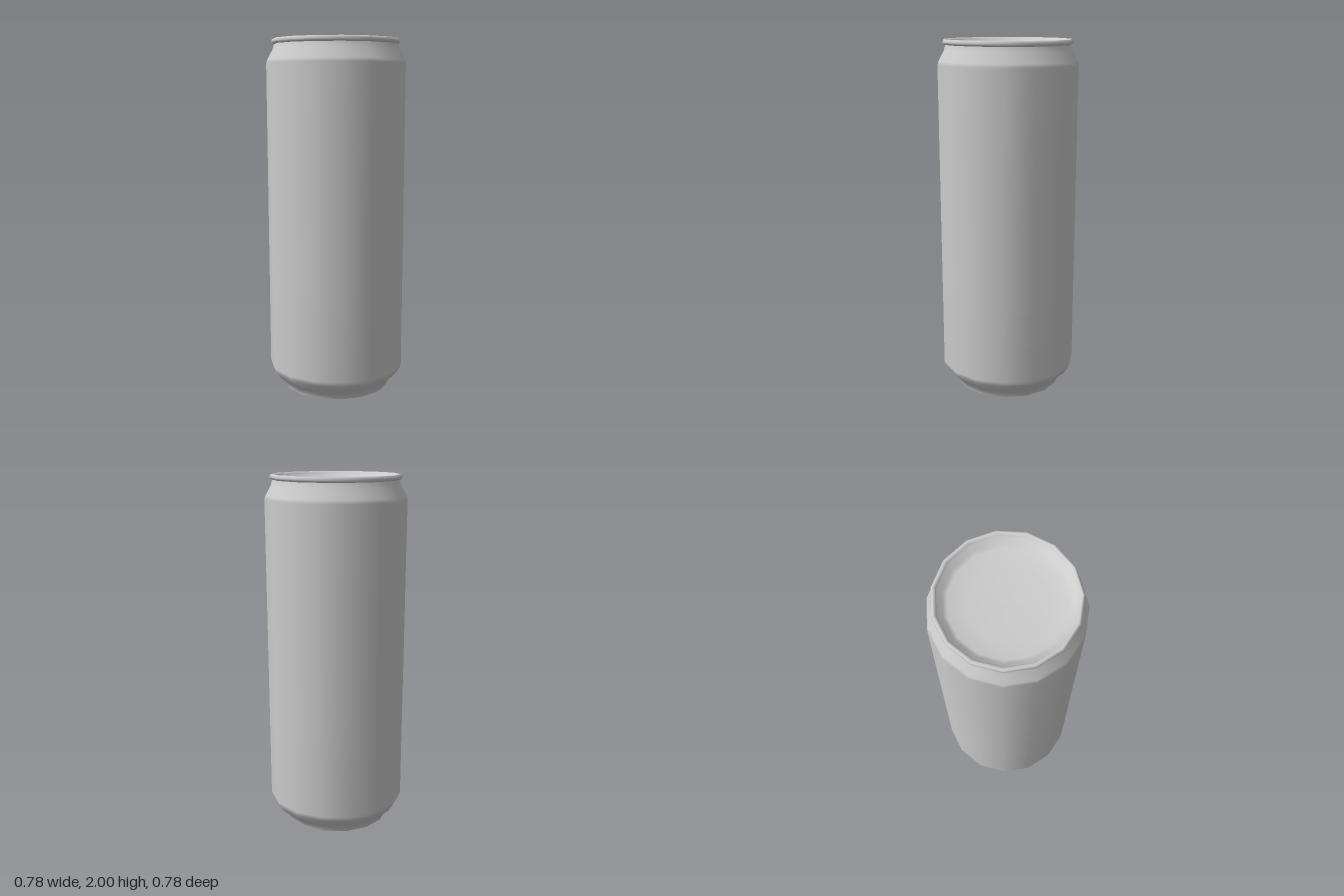
import * as THREE from 'three';

const SIDES = 15;
const PHASE = THREE.MathUtils.degToRad(14.2);

export function createModel() {
  const can = new THREE.Group();
  can.name = 'drinkCan';
  const material = new THREE.MeshStandardMaterial({ color: 0xcccccc });

  // Spins a profile of [radius, height] pairs around the upright axis
  const addTurned = (name, profile) => {
    const points = profile.map(([r, y]) => new THREE.Vector2(r, y));
    const mesh = new THREE.Mesh(new THREE.LatheGeometry(points, SIDES, PHASE), material);
    mesh.name = name;
    can.add(mesh);
  };

  // Shallow dome pushed up into the bottom
  addTurned('base', [[0, 0.04], [0.15, 0.03], [0.25, 0.012], [0.302, 0]]);

  // Foot, lower taper, wall, shoulder and neck
  addTurned('body', [
    [0.302, 0], [0.31, 0.03], [0.35, 0.065], [0.376, 0.1], [0.388, 0.13],
    [0.39, 0.7], [0.392, 1.3], [0.394, 1.865], [0.388, 1.885],
    [0.358, 1.94], [0.349, 1.97],
  ]);

  // Rolled rim
  addTurned('rim', [
    [0.349, 1.97], [0.36, 1.975], [0.364, 1.985], [0.36, 1.997],
    [0.352, 2], [0.343, 1.997], [0.337, 1.988],
  ]);

  // Sunken lid
  addTurned('lid', [
    [0.337, 1.988], [0.31, 1.963], [0.288, 1.948], [0.2, 1.939], [0.1, 1.934], [0, 1.932],
  ]);

  return can;
}
